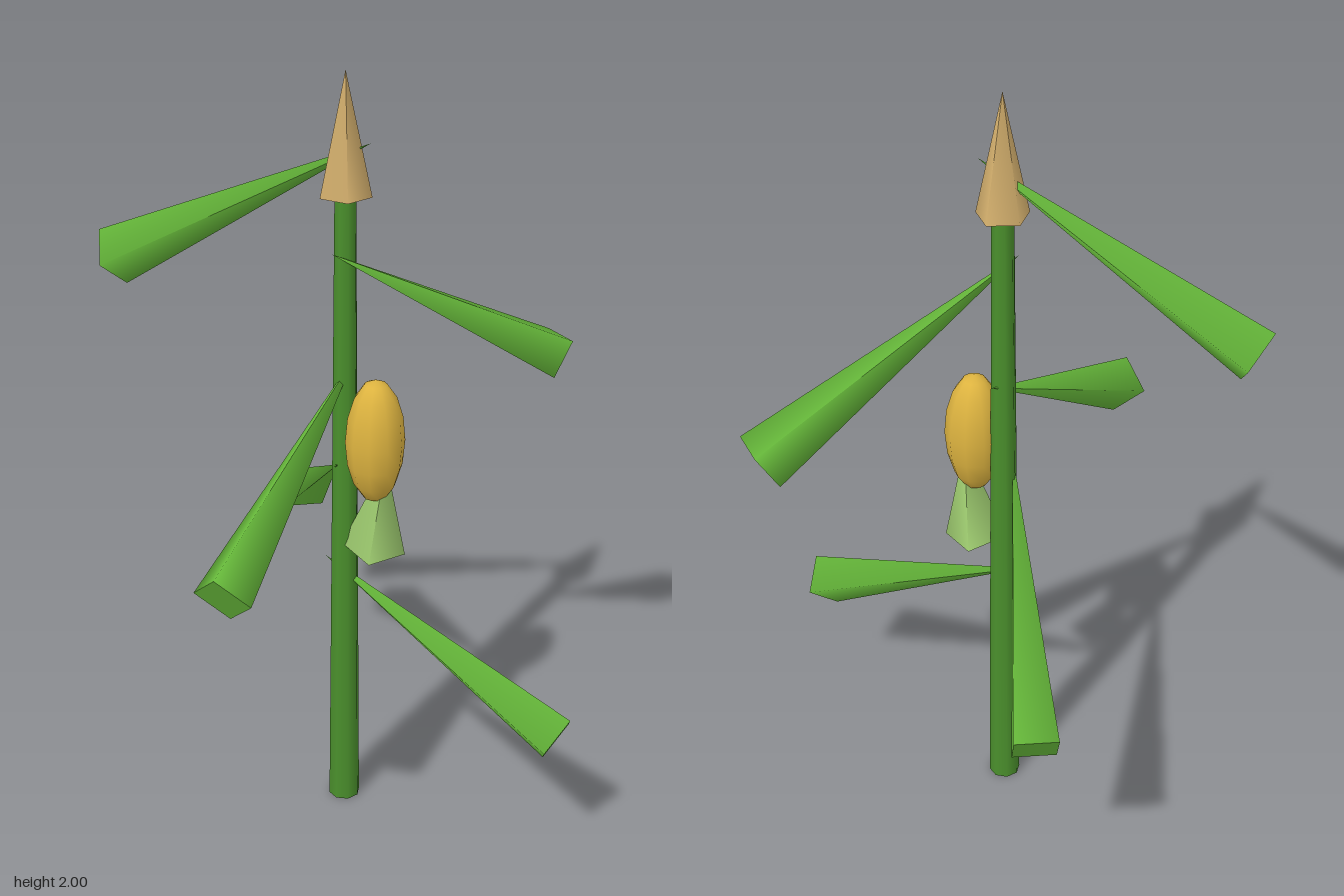
import * as THREE from 'three';

const mat = (name, color) => {
  const m = new THREE.MeshStandardMaterial({ color });
  m.name = name;
  return m;
};

export function createModel() {
  const group = new THREE.Group();
  const stalkGreen = mat('stalk green', 0x4a8f2c);
  const leafGreen = mat('leaf green', 0x66b83a);
  const huskGreen = mat('husk green', 0x9cc96e);
  const cornYellow = mat('corn yellow', 0xdeb440);
  const tasselTan = mat('tassel tan', 0xd2ae6c);
  const cx = -0.01, cz = -0.042;

  const add = (name, geometry, material, x, y, z) => {
    const mesh = new THREE.Mesh(geometry, material);
    mesh.name = name;
    mesh.position.set(x, y, z);
    group.add(mesh);
    return mesh;
  };

  // Tapered stalk and five-sided tassel on top
  add('stalk', new THREE.CylinderGeometry(0.026, 0.042, 1.75, 8), stalkGreen, cx, 0.875, cz);
  add('tassel', new THREE.ConeGeometry(0.065, 0.295, 5), tasselTan, cx, 1.8525, cz).rotation.y = Math.PI;

  // Leaves: four-sided cones, tip in the stalk and broad end drooping outward
  // [tip, centre of broad end, roll about the axis]
  const leaves = [
    [[-0.07, 0.73, -0.042], [0.607, 0.39, -0.045], 0],
    [[0.0, 1.03, 0.01], [-0.418, 0.642, -0.492], Math.PI / 4],
    [[-0.015, 1.28, -0.1], [0.033, 0.935, 0.573], 0],
    [[-0.012, 1.58, 0.02], [0.313, 1.195, -0.555], Math.PI / 4],
    [[0.05, 1.835, -0.055], [-0.613, 1.485, 0.078], 0],
  ];
  leaves.forEach(([tip, end, roll], i) => {
    const a = new THREE.Vector3(...tip), b = new THREE.Vector3(...end);
    const axis = a.clone().sub(b);
    const length = axis.length();
    axis.normalize();
    const side = new THREE.Vector3(0, 1, 0).cross(axis).normalize();
    const up = side.clone().cross(axis);
    const mid = a.add(b).multiplyScalar(0.5);
    const leaf = add('leaf' + (i + 1), new THREE.ConeGeometry(0.075, length, 4), leafGreen, mid.x, mid.y, mid.z);
    leaf.setRotationFromMatrix(new THREE.Matrix4().makeBasis(side, axis, up));
    leaf.rotateY(roll);
  });

  // Ear of corn with a leaning husk below it
  add('ear', new THREE.SphereGeometry(0.075, 10, 8), cornYellow, 0.077, 1.092, cz).scale.y = 2.2;
  const husk = add('husk', new THREE.ConeGeometry(0.082, 0.26, 4), huskGreen, 0.087, 0.912, -0.05);
  husk.rotateZ(-0.13);
  husk.rotateY(0.38);

  return group;
}
